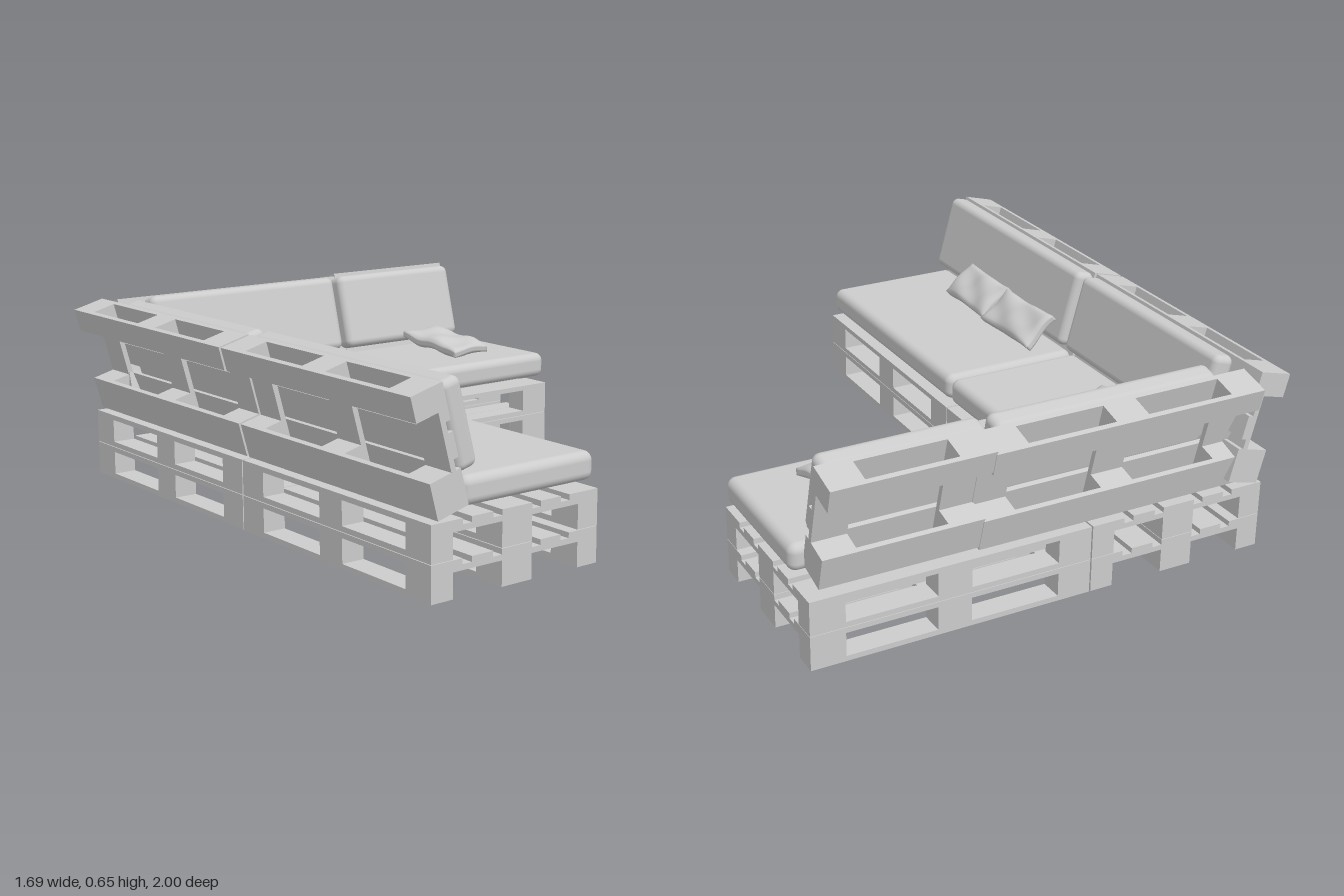
import * as THREE from 'three';
import { RoundedBoxGeometry } from 'three/addons/geometries/RoundedBoxGeometry.js';
import { mergeVertices } from 'three/addons/utils/BufferGeometryUtils.js';

const material = new THREE.MeshStandardMaterial({ color: 0xcccccc });

// Pallet proportions
const L = 0.962, W = 0.645, BOARD = 0.0178, BLOCK = 0.0625, WIDE = 0.116, NARROW = 0.08;
const H = BOARD * 3 + BLOCK;
const LEAN = 0.26;

function addBox(parent, name, sx, sy, sz, x, y, z) {
  const mesh = new THREE.Mesh(new THREE.BoxGeometry(sx, sy, sz), material);
  mesh.name = name;
  mesh.position.set(x, y, z);
  parent.add(mesh);
}

// Pallet lying flat, length on x; a cut pallet ends after the middle row of blocks
function pallet(name, blockXs, length, cut = false) {
  const group = new THREE.Group();
  group.name = name;
  const edge = (W - NARROW) / 2, side = (W - WIDE) / 2;
  const rows = [[-edge, NARROW], [0, WIDE], [edge, NARROW]].slice(0, cut ? 2 : 3);
  const boards = [[-side, WIDE], [-side / 2, NARROW], [0, WIDE], [side / 2, NARROW], [side, WIDE]].slice(0, cut ? 3 : 5);
  const zMin = -W / 2, zMax = cut ? WIDE / 2 : W / 2;
  for (const [z, w] of rows) {
    addBox(group, 'runner', length, BOARD, w, 0, BOARD / 2, z);
    for (const x of blockXs) addBox(group, 'block', WIDE, BLOCK, w, x, BOARD + BLOCK / 2, z);
  }
  for (const x of blockXs)
    addBox(group, 'crossBoard', WIDE, BOARD, zMax - zMin, x, BOARD * 1.5 + BLOCK, (zMin + zMax) / 2);
  for (const [z, w] of boards) addBox(group, 'deckBoard', length, BOARD, w, 0, H - BOARD / 2, z);
  return group;
}

const endX = (length) => (length - WIDE) / 2;

// Two stacked pallets
function base(name, x, z, turn) {
  const group = new THREE.Group();
  group.name = name;
  for (const level of [0, 1]) {
    const p = pallet('seatPallet', [-endX(L), 0, endX(L)], L);
    p.position.y = level * (H + 0.002);
    group.add(p);
  }
  group.position.set(x, 0, z);
  group.rotation.y = turn;
  return group;
}

// Cut pallet standing on its long edge and leaning back; origin is its lower rear edge
function backrest(name, length, blockXs, x, y, z, turn) {
  const group = new THREE.Group(), tilt = new THREE.Group();
  group.name = name;
  const p = pallet('backPallet', blockXs, length, true);
  p.position.z = -WIDE / 2;
  tilt.rotation.x = Math.PI / 2 - LEAN;
  tilt.add(p);
  group.add(tilt);
  group.position.set(x, y, z);
  group.rotation.y = turn;
  return group;
}

function cushion(name, sx, sy, sz, x, y, z, turn = 0, lean = 0) {
  const mesh = new THREE.Mesh(new RoundedBoxGeometry(sx, sy, sz, 5, Math.min(sy, sz) * 0.32), material);
  mesh.name = name;
  mesh.position.set(x, y, z);
  mesh.rotation.set(-lean, turn, 0, 'YXZ');
  return mesh;
}

// Soft slab with thin edges, pulled-in sides and a few creases
function pillow(w, t, d, seed, position, rotation) {
  let geometry = new THREE.BoxGeometry(w, t, d, 18, 4, 26);
  geometry.deleteAttribute('uv');
  geometry.deleteAttribute('normal');
  geometry = mergeVertices(geometry);
  const p = geometry.attributes.position;
  for (let i = 0; i < p.count; i++) {
    const u = THREE.MathUtils.clamp(p.getX(i) / w * 2, -1, 1);
    const v = THREE.MathUtils.clamp(p.getZ(i) / d * 2, -1, 1);
    const puff = 0.45 + 0.55 * Math.sqrt((1 - u ** 4) * (1 - v ** 4));
    const crease = 0.004 * Math.sin(u * 3 + v * 4 + seed) + 0.003 * Math.sin(v * 7 - u * 2 + seed * 2);
    p.setXYZ(i, p.getX(i) * (1 - 0.06 * (1 - v * v)), p.getY(i) * puff + crease, p.getZ(i) * (1 - 0.04 * (1 - u * u)));
  }
  geometry.computeVertexNormals();
  const mesh = new THREE.Mesh(geometry, material);
  mesh.name = 'pillow';
  mesh.position.set(...position);
  mesh.rotation.set(...rotation);
  return mesh;
}

export function createModel() {
  const model = new THREE.Group();
  model.name = 'palletCornerSofa';
  const Q = Math.PI / 2;

  // Seat bases
  model.add(
    base('frontBase', -0.453, 0.518, Q),
    base('cornerBase', -0.453, -0.449, Q),
    base('sideBase', 0.356, -0.608, 0)
  );

  // Backrests: two along the side, one full and one short at the rear
  const full = [-endX(L), 0, endX(L)];
  const short = 0.535;
  model.add(
    backrest('frontBackrest', L, full, -0.75, 0.24, 0.518, Q),
    backrest('cornerBackrest', L, full, -0.75, 0.24, -0.457, Q),
    backrest('rearBackrest', L, full, -0.22, 0.24, -0.902, 0),
    backrest('shortRearBackrest', short, [-endX(short), endX(short)], 0.525, 0.25, -0.902, 0)
  );

  // Seat cushions
  const seatY = 0.304, seatH = 0.092;
  model.add(
    cushion('frontSeatCushion', 0.515, seatH, 0.96, -0.393, seatY, 0.513),
    cushion('cornerSeatCushion', 0.515, seatH, 0.825, -0.393, seatY, -0.388),
    cushion('sideSeatCushion', 0.957, seatH, 0.51, 0.36, seatY, -0.548)
  );

  // Back cushions
  const backY = 0.505, backH = 0.28;
  model.add(
    cushion('frontBackCushion', 0.96, backH, 0.078, -0.667, backY, 0.515, Q, LEAN),
    cushion('cornerBackCushion', 0.81, backH, 0.078, -0.667, backY, -0.392, Q, LEAN),
    cushion('rearBackCushion', 0.805, backH, 0.083, -0.207, backY, -0.808, 0, LEAN),
    cushion('shortRearBackCushion', 0.545, backH, 0.083, 0.493, backY, -0.808, 0, LEAN)
  );

  // Loose pillows
  model.add(
    pillow(0.15, 0.055, 0.31, 1, [-0.537, 0.422, 0.235], [0, 0.04, -0.72]),
    pillow(0.15, 0.055, 0.3, 4, [-0.543, 0.422, 0.548], [0, -0.02, -0.72]),
    pillow(0.17, 0.045, 0.3, 2, [-0.455, 0.402, -0.51], [0.16, 0.08, -0.12]),
    pillow(0.16, 0.04, 0.29, 5, [-0.41, 0.374, -0.648], [0, Q - 0.1, 0]),
    pillow(0.17, 0.05, 0.3, 3, [0.55, 0.392, -0.555], [0.13, 0.06, 0.05])
  );
  return model;
}
